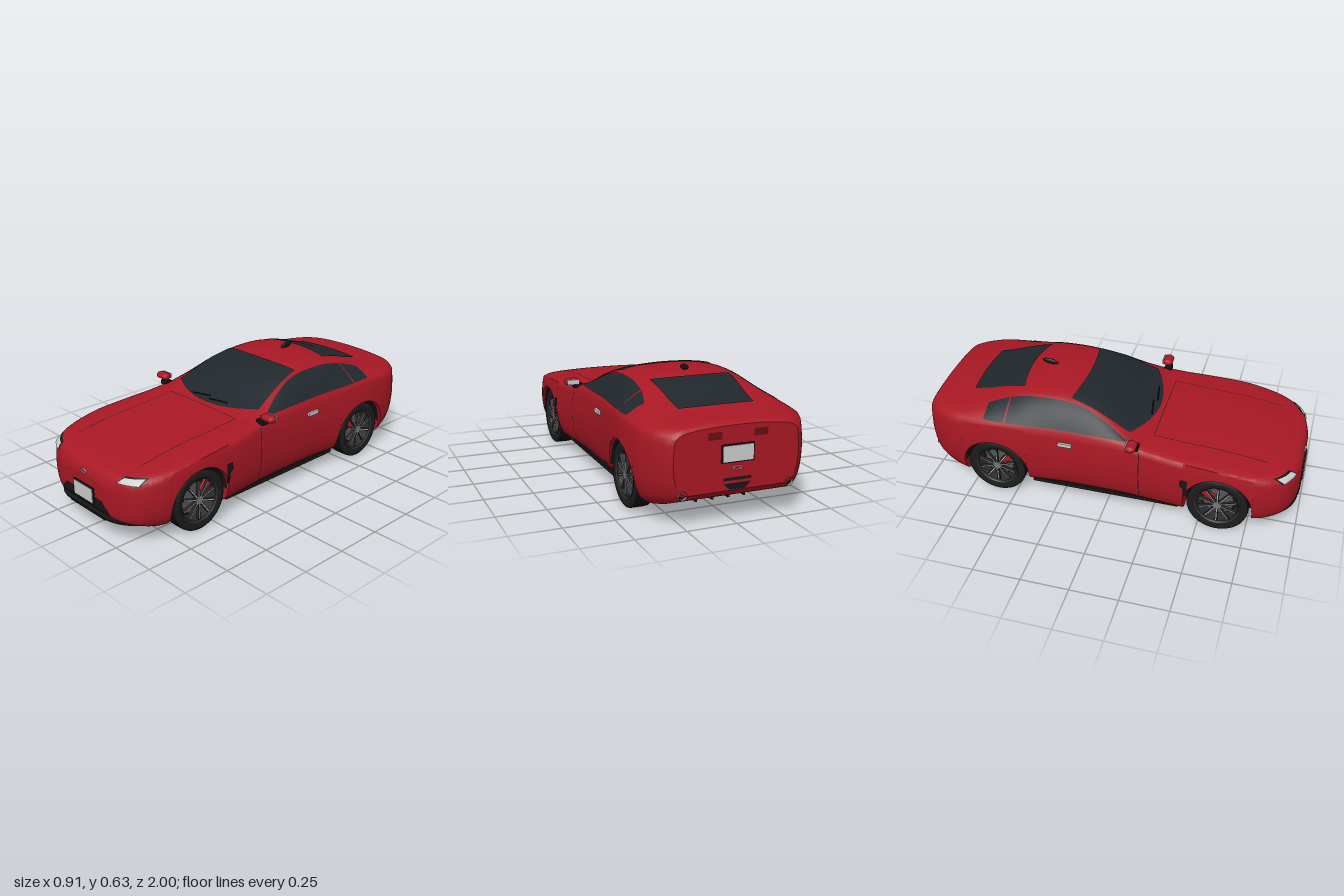
import * as THREE from 'three';
import { toCreasedNormals } from 'three/addons/utils/BufferGeometryUtils.js';

const mat = (color, side = THREE.FrontSide) => new THREE.MeshStandardMaterial({ color, side });
const RED = 0xa81824, GLASS = 0x20272c, BLACK = 0x161616, DARK = 0x2c2c2e, SILVER = 0xcccccc;
const { lerp, clamp } = THREE.MathUtils;

// Smooth curve through [z, value] pairs (z descending) that never overshoots
function curve(pts) {
  const n = pts.length;
  const d = pts.slice(1).map((p, i) => (p[1] - pts[i][1]) / (p[0] - pts[i][0]));
  const m = pts.map((_, i) => {
    if (i === 0) return d[0];
    if (i === n - 1) return d[n - 2];
    return d[i - 1] * d[i] <= 0 ? 0 : 2 * d[i - 1] * d[i] / (d[i - 1] + d[i]);
  });
  return z => {
    z = clamp(z, pts[n - 1][0], pts[0][0]);
    let i = 0;
    while (i < n - 2 && z < pts[i + 1][0]) i++;
    const h = pts[i + 1][0] - pts[i][0], t = (z - pts[i][0]) / h, t2 = t * t, t3 = t2 * t;
    return (2 * t3 - 3 * t2 + 1) * pts[i][1] + (t3 - 2 * t2 + t) * h * m[i]
      + (3 * t2 - 2 * t3) * pts[i + 1][1] + (t3 - t2) * h * m[i + 1];
  };
}

// Body lines along the length: half width, floor, belt, roof centre, roof rail
const width = curve([[.99, .17], [.98, .22], [.95, .3], [.9, .36], [.8, .405], [.7, .42], [.6, .427], [.4, .42], [.2, .402],
  [0, .392], [-.2, .392], [-.35, .402], [-.5, .42], [-.65, .43], [-.8, .42], [-.9, .388], [-.97, .34], [-.99, .315]]);
const floorY = curve([[.99, .16], [.97, .125], [.93, .105], [.8, .075], [.7, .07], [-.75, .07], [-.85, .09], [-.95, .125], [-.99, .16]]);
const beltY = curve([[.99, .27], [.95, .315], [.8, .36], [.6, .39], [.3, .41], [.1, .43], [-.2, .438], [-.6, .45], [-.8, .445], [-.99, .42]]);
const topY = curve([[.99, .3], [.98, .33], [.95, .355], [.9, .37], [.8, .387], [.6, .412], [.4, .423], [.22, .438], [.1, .487], [0, .54],
  [-.1, .58], [-.2, .6], [-.3, .606], [-.4, .603], [-.5, .588], [-.6, .56], [-.7, .525], [-.8, .5], [-.9, .49], [-.97, .48], [-.99, .465]]);
const railX = curve([[.99, .12], [.95, .23], [.9, .285], [.8, .32], [.5, .335], [.2, .325], [0, .288], [-.2, .256], [-.5, .255], [-.65, .275], [-.8, .315], [-.9, .3], [-.99, .25]]);
const drop = curve([[.99, .008], [.6, .008], [.25, .006], [.1, .02], [0, .025], [-.2, .022], [-.6, .02], [-.99, .015]]);
const flank = curve([[1, .968], [.85, .988], [.6, 1], [.35, .985], [.15, .94], [.06, .89], [0, .8]]);
const railY = z => topY(z) - drop(z);

const AXLES = [.6, -.6], ARCH = .178, HUB = .16;
const archY = z => Math.max(floorY(z), ...AXLES.map(c => Math.abs(z - c) < ARCH ? HUB + Math.sqrt(ARCH ** 2 - (z - c) ** 2) : 0));

// Half cross-section from the lower edge, over the belt and rail, to the centre
function section(z, low = floorY(z)) {
  const pts = [], y0 = floorY(z), ys = beltY(z), w = width(z), xb = railX(z), yb = railY(z);
  for (let i = 0; i <= 14; i++) {
    const y = lerp(low, ys, (i / 14) ** 1.3);
    pts.push([w * flank((y - y0) / (ys - y0)), y]);
  }
  const xs = pts[14][0], k = lerp(.6, .2, clamp((topY(z) - ys) / .12, 0, 1));
  const qx = lerp((xs + xb) / 2, xs, k), qy = lerp((ys + yb) / 2, yb, k);
  for (let i = 1; i <= 8; i++) {
    const t = i / 8, s = 1 - t;
    pts.push([s * s * xs + 2 * s * t * qx + t * t * xb, s * s * ys + 2 * s * t * qy + t * t * yb]);
  }
  for (let i = 1; i <= 10; i++) pts.push([xb * (1 - i / 10), topY(z) - drop(z) * (1 - i / 10) ** 2.2]);
  for (let r = 0; r < 2; r++) for (let i = 15; i < pts.length - 1; i++)
    for (const c of [0, 1]) pts[i][c] = (pts[i - 1][c] + 2 * pts[i][c] + pts[i + 1][c]) / 4;
  return pts;
}

// Project onto the body from the side, from above, and from either end
function sideX(y, z) {
  const s = section(z), i = s.findIndex(p => p[1] >= y);
  if (i < 0) return 0;
  return i ? lerp(s[i - 1][0], s[i][0], (y - s[i - 1][1]) / (s[i][1] - s[i - 1][1])) : s[0][0];
}
function roofY(x, z) {
  const s = section(z).reverse(), a = Math.abs(x), i = s.findIndex(p => p[0] >= a);
  if (i < 0) return -1;
  return i ? lerp(s[i - 1][1], s[i][1], (a - s[i - 1][0]) / (s[i][0] - s[i - 1][0])) : s[0][1];
}
function endZ(x, y, dir) {
  const inside = z => y >= floorY(z) && y <= roofY(x, z) || (Math.abs(x) <= sideX(y, z) && y >= floorY(z) && y <= beltY(z));
  if (inside(dir * .99)) return dir * .99;
  let a = .5, b = .99;
  for (let i = 0; i < 14; i++) { const m = (a + b) / 2; if (inside(dir * m)) a = m; else b = m; }
  return dir * a;
}

// Skin over rows of points
function loft(rows, crease = .8) {
  const n = rows[0].length, index = [], g = new THREE.BufferGeometry();
  for (let i = 0; i < rows.length - 1; i++) for (let j = 0; j < n - 1; j++) {
    const a = i * n + j, b = a + n;
    index.push(a, a + 1, b, a + 1, b + 1, b);
  }
  g.setAttribute('position', new THREE.Float32BufferAttribute(rows.flat(2), 3));
  g.setIndex(index);
  return toCreasedNormals(g, crease);
}

export function createModel() {
  const car = new THREE.Group();
  car.name = 'car';
  const add = (name, geo, color, pos = [0, 0, 0], parent = car, side) => {
    const m = new THREE.Mesh(geo, mat(color, side));
    m.name = name; m.position.set(...pos); parent.add(m);
    return m;
  };
  const box = (name, size, color, pos, parent) => add(name, new THREE.BoxGeometry(...size), color, pos, parent);
  // Grid patch of fn(u, v)
  const patch = (name, color, fn, nu = 12, nv = 6) => {
    const rows = Array.from({ length: nu + 1 }, (_, i) => Array.from({ length: nv + 1 }, (_, j) => fn(i / nu, j / nv)));
    add(name, loft(rows), color, [0, 0, 0], car, THREE.DoubleSide);
  };
  const onTop = (x, z, o = .004) => [x, roofY(x, z) + o, z];
  const onSide = (s, y, z, o = .004) => [s * (sideX(y, z) + o), y, z];
  const onEnd = (x, y, dir, o = .004) => [x, y, endZ(x, y, dir) + dir * o];
  // Four-cornered patch on the nose or tail: [x, y] corners
  const endPatch = (name, color, dir, [a, b, c, d], o) => patch(name, color, (u, v) =>
    onEnd(lerp(lerp(a[0], b[0], u), lerp(d[0], c[0], u), v), lerp(lerp(a[1], b[1], u), lerp(d[1], c[1], u), v), dir, o), 10, 4);
  const rect = (x0, x1, y0, y1) => [[x0, y0], [x1, y0], [x1, y1], [x0, y1]];

  // Body shell with open wheel arches
  const zs = Array.from({ length: 141 }, (_, i) => .99 * Math.sin((i / 70 - 1) * 1.25) / Math.sin(1.25));
  for (const c of AXLES) for (const s of [-1, 1]) for (const e of [-1e-4, 1e-4, -.002, -.006, -.013]) zs.push(c + s * (ARCH + e));
  zs.sort((a, b) => a - b);
  const halves = zs.map(z => section(z, archY(z)).map(([x, y]) => [x, y, z]));
  const flip = p => [-p[0], p[1], p[2]];
  add('body', loft(halves.map(h => [...h, ...h.slice(0, -1).reverse().map(flip)]), 1), RED);
  add('underbody', loft(halves.map(h => {
    const [x, y, z] = h[0], xi = Math.min(.27, x * .9), f = floorY(z);
    return [[-x, y, z], [-xi, y, z], [-xi, f, z], [xi, f, z], [xi, y, z], [x, y, z]];
  })), RED);
  for (const [name, h] of [['tailPanel', halves[0]], ['nosePanel', halves.at(-1)]])
    add(name, loft([h, h.map(flip)]), RED, [0, 0, 0], car, THREE.DoubleSide);

  // Windscreen, rear window, wipers, roof fin
  patch('windscreen', GLASS, (u, v) => {
    const s = u * 2 - 1, x = s * lerp(.305, .25, v);
    return onTop(x, lerp(.205 - .09 * s * s, -.18 - .03 * s * s, v), .005);
  }, 20, 16);
  patch('rearWindow', GLASS, (u, v) => {
    const s = u * 2 - 1;
    return onTop(s * lerp(.215, .195, v), lerp(-.505 + .03 * s * s, -.785 + .012 * s * s, v), .005);
  }, 16, 12);
  for (const x0 of [-.12, .01]) {
    const arm = [0, .33, .66, 1].map(t => new THREE.Vector3(...onTop(x0 + t * .12, .185 - .02 * t, .011)));
    add('wiper', new THREE.TubeGeometry(new THREE.CatmullRomCurve3(arm), 10, .004, 6), BLACK);
  }
  const fin = add('roofFin', new THREE.SphereGeometry(1, 16, 10), BLACK, [0, .616, -.41]);
  fin.scale.set(.01, .015, .045);
  fin.rotation.x = .12;

  // Bonnet seams
  for (const s of [-1, 1]) patch('bonnetSeam', BLACK, (u, v) => onTop(s * (.254 + v * .003), lerp(.23, .83, u), .002), 24, 1);
  patch('bonnetRearSeam', BLACK, (u, v) => onTop(lerp(-.255, .255, u), .23 + v * .003, .002), 24, 1);

  for (const s of [-1, 1]) {
    // Side glass, door seam, handle and wing vent
    const glass = (name, z0, z1) => patch(name, GLASS, (u, v) => {
      const z = lerp(z0, z1, u), lo = lerp(.447, .465, (.15 - z) / .8);
      return onSide(s, lerp(lo, Math.max(lo + .002, railY(z) - .012), v), z);
    }, 20, 8);
    glass('doorWindow', .14, -.53);
    glass('quarterWindow', -.538, -.648);
    patch('doorSeam', BLACK, (u, v) => onSide(s, lerp(.12, .43, u), .183 + v * .004, .002), 16, 1);
    box('doorHandle', [.014, .02, .075], SILVER, onSide(s, .378, -.21));
    patch('wingVent', BLACK, (u, v) => onSide(s, lerp(.21, .31, u), lerp(.445, u > .5 ? .405 : .425, v), .005), 10, 2);
    for (const x of [.318, .348]) box('sill', [.02, .022, .8], BLACK, [s * x, .08, -.01]);

    // Door mirror
    const mirror = new THREE.Group();
    mirror.name = 'doorMirror';
    mirror.position.set(s * .413, .462, .15);
    car.add(mirror);
    const shell = add('mirrorShell', new THREE.CapsuleGeometry(.019, .046, 6, 14).rotateZ(Math.PI / 2), RED, [0, 0, 0], mirror);
    shell.scale.z = 1.5;
    box('mirrorGlass', [.066, .027, .006], SILVER, [0, 0, -.026], mirror);
    box('mirrorArm', [.05, .022, .04], BLACK, [s * -.035, -.026, .01], mirror);

    // Lamps and exhausts
    endPatch('headlightSurround', BLACK, 1, [[s * .235, .327], [s * .347, .327], [s * .35, .36], [s * .258, .357]], .004);
    endPatch('headlight', SILVER, 1, [[s * .243, .331], [s * .342, .331], [s * .345, .356], [s * .262, .353]], .009);
    endPatch('tailLamp', 0x6a0d12, -1, rect(s * .08, s * .15, .405, .44));
    add('exhaust', new THREE.CylinderGeometry(.02, .02, .06, 20, 1, true).rotateX(Math.PI / 2), 0x888888, [s * .27, .165, -.967], car, THREE.DoubleSide);
    add('exhaustInside', new THREE.CircleGeometry(.019, 20).rotateY(Math.PI), BLACK, [s * .27, .165, -.98]);
    for (const x of [.042, .126]) box('diffuserFin', [.01, .03, .1], BLACK, [s * x, .078, -.78]);
  }

  // Nose and tail trim
  endPatch('lowerGrille', BLACK, 1, [[-.165, .13], [.165, .13], [.195, .155], [-.195, .155]]);
  endPatch('upperGrille', BLACK, 1, [[-.195, .155], [.195, .155], [.145, .205], [-.145, .205]]);
  endPatch('rearGrille', BLACK, -1, [[-.04, .165], [.04, .165], [.07, .195], [-.07, .195]]);
  endPatch('rearGrilleBar', BLACK, -1, rect(-.07, .07, .208, .222));
  for (const [dir, y] of [[1, .205], [-1, .335]]) {
    box('plateFrame', [.164, .086, .008], BLACK, [0, y, dir * .993]);
    box('plate', [.152, .074, .004], SILVER, [0, y, dir * .998]);
    const ring = add('ovalRing', new THREE.TorusGeometry(.02, .004, 8, 28), SILVER, onEnd(0, dir > 0 ? .312 : .265, dir, .002));
    ring.scale.y = .45;
  }
  const lip = new THREE.Shape();
  lip.moveTo(-.31, -.9).lineTo(.31, -.9);
  lip.quadraticCurveTo(.25, -.975, .15, -.985).lineTo(-.15, -.985).quadraticCurveTo(-.25, -.975, -.31, -.9);
  add('frontSplitter', new THREE.ExtrudeGeometry(lip, { depth: .008, bevelEnabled: false, curveSegments: 8 }).rotateX(-Math.PI / 2), BLACK, [0, .104, 0]);
  box('splitterCentre', [.29, .016, .06], BLACK, [0, .102, .95]);

  // Wheels and wheel wells
  const lathe = pts => toCreasedNormals(new THREE.LatheGeometry(pts.map(p => new THREE.Vector2(...p)), 48).rotateZ(-Math.PI / 2), .6);
  const tread = [-.03, -.01, .01, .03].flatMap(y => [[.16, y - .003], [.155, y - .002], [.155, y + .002], [.16, y + .003]]);
  const tyre = lathe([[.114, -.045], [.135, -.05], [.15, -.049], [.158, -.043], ...tread, [.158, .043], [.15, .049], [.135, .05], [.114, .045]]);
  const rim = lathe([[.1, -.045], [.106, .02], [.108, .04], [.116, .047], [.118, .04]]);
  const disc = r => new THREE.CylinderGeometry(r, r, .01, 32).rotateZ(-Math.PI / 2);
  for (const s of [-1, 1]) for (const c of AXLES) {
    const arc = Array.from({ length: 25 }, (_, i) => {
      const a = Math.PI * i / 24, y = HUB + .177 * Math.sin(a), z = c + .177 * Math.cos(a);
      return [[s * .272, HUB - .08, z], [s * .272, y, z], [s * .4, y, z]];
    });
    add('wheelWell', loft(arc), BLACK, [0, 0, 0], car, THREE.DoubleSide);
    const wheel = new THREE.Group();
    wheel.name = 'wheel';
    wheel.position.set(s * .35, HUB, c);
    if (s < 0) wheel.rotation.y = Math.PI;
    car.add(wheel);
    add('tyre', tyre, 0x1c1c1c, [0, 0, 0], wheel, THREE.DoubleSide);
    add('rim', rim, DARK, [0, 0, 0], wheel, THREE.DoubleSide);
    add('wheelBack', disc(.104), BLACK, [-.03, 0, 0], wheel);
    add('brakeDisc', disc(.08), 0x555555, [0, 0, 0], wheel);
    const toward = -Math.sign(c) * s;
    box('brakeCaliper', [.026, .07, .034], 0xb01822, [.012, .045, toward * .055], wheel).rotation.x = toward * .9;
    add('hub', disc(.022), 0x777777, [.04, 0, 0], wheel);
    for (let i = 0; i < 10; i++) {
      const spoke = new THREE.Group();
      spoke.name = 'spoke';
      spoke.rotation.x = i * Math.PI / 5;
      wheel.add(spoke);
      box('spokeCore', [.014, .095, .012], DARK, [.034, .06, 0], spoke);
      box('spokeFace', [.003, .085, .005], 0xb8b8b8, [.0425, .058, 0], spoke);
    }
  }
  return car;
}
